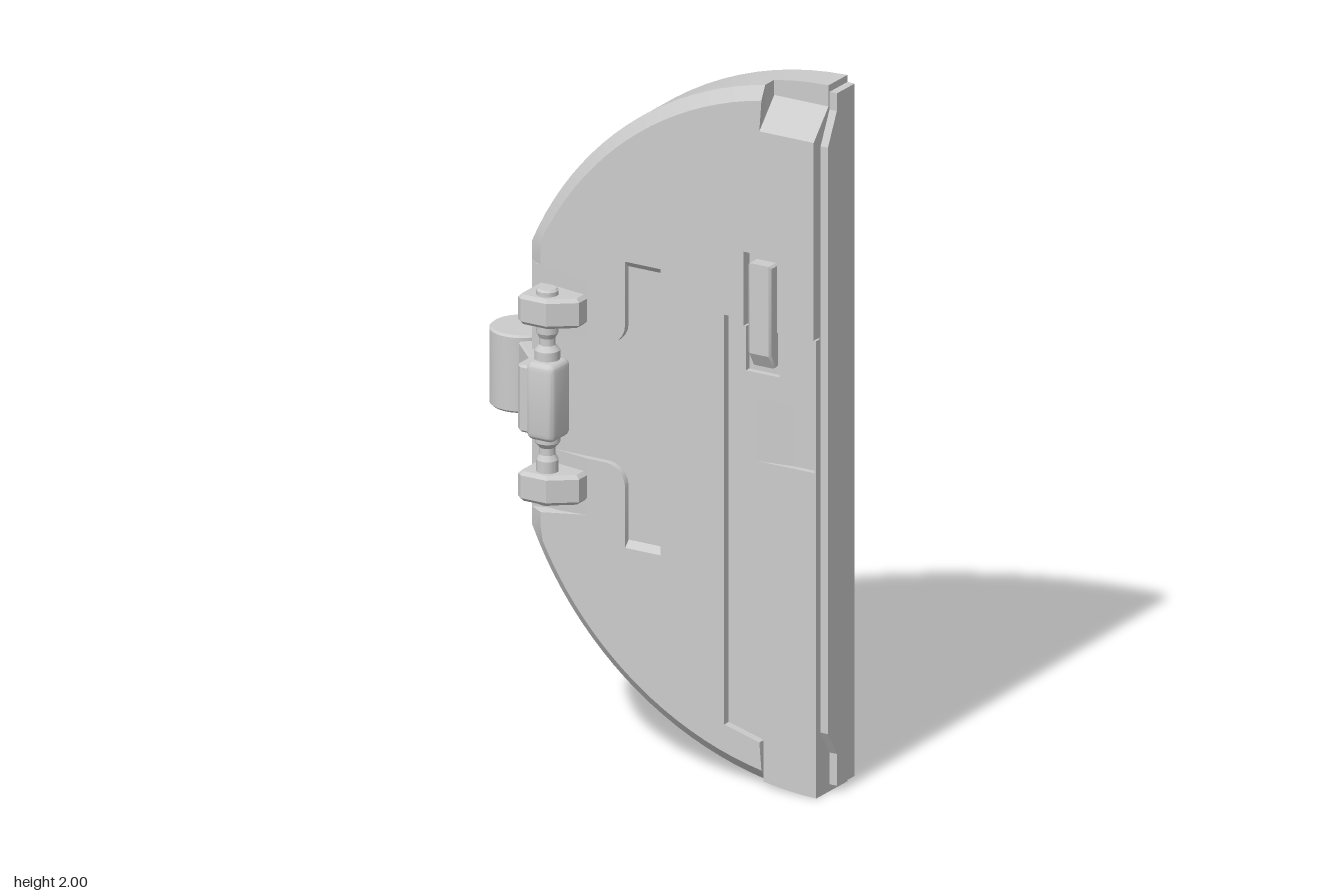
import * as THREE from 'three';
import { toCreasedNormals } from 'three/addons/utils/BufferGeometryUtils.js';
import { RoundedBoxGeometry } from 'three/addons/geometries/RoundedBoxGeometry.js';

const CX = 0.546; // centre of the one-unit arc, at y = 1
const LEFT = -0.37, RIGHT = 0.53, NOTCH = 0.36;

// points on the rim arc between two x positions; side = 1 upper, -1 lower
function arc(x0, x1, side, n = 20) {
  const a0 = Math.acos((x0 - CX)), a1 = Math.acos((x1 - CX));
  return Array.from({ length: n + 1 }, (_, i) => {
    const a = a0 + (a1 - a0) * i / n;
    return [CX + Math.cos(a), 1 + side * Math.sin(a)];
  });
}

// quarter-round corner
function round(cx, cy, r, from, to, n = 5) {
  return Array.from({ length: n + 1 }, (_, i) => {
    const a = from + (to - from) * i / n;
    return [cx + r * Math.cos(a), cy + r * Math.sin(a)];
  });
}

const shape = pts => new THREE.Shape(pts.map(p => new THREE.Vector2(p[0], p[1])));
const extrude = (s, depth, bevel = 0) => new THREE.ExtrudeGeometry(s, {
  depth: depth - 2 * bevel, bevelEnabled: bevel > 0, bevelSize: bevel,
  bevelThickness: bevel, bevelOffset: -bevel, bevelSegments: 1, curveSegments: 24,
}).translate(0, 0, bevel);

// slab of an [x, y] outline from z0 to z1
const slab = (s, z0, z1) => extrude(s, z1 - z0).translate(0, 0, z0);
// [x, z] outline raised from y0 to y1
const prismY = (pts, y0, y1, bevel) =>
  extrude(shape(pts.map(([x, z]) => [x, -z])), y1 - y0, bevel).rotateX(-Math.PI / 2).translate(0, y0, 0);
// [z, y] outline drawn out from x0 to x1
const prismX = (pts, x0, x1, bevel) =>
  extrude(shape(pts.map(([z, y]) => [-z, y])), x1 - x0, bevel).rotateY(Math.PI / 2).translate(x0, 0, 0);

export function createModel() {
  const model = new THREE.Group();
  const material = new THREE.MeshStandardMaterial({ color: 0xcccccc });
  const add = (name, geo, parent = model) => {
    const mesh = new THREE.Mesh(toCreasedNormals(geo, 0.4), material);
    mesh.name = name;
    parent.add(mesh);
    return mesh;
  };

  // door core: full back layer, then a layer with the top corner cut away
  add('doorBack', slab(shape([...arc(LEFT, RIGHT, 1), ...arc(RIGHT, LEFT, -1)]), -0.11, -0.015));
  add('doorCore', slab(shape([
    ...arc(LEFT, NOTCH, 1), [NOTCH, 1.86], [RIGHT, 1.86], ...arc(RIGHT, LEFT, -1),
  ]), -0.015, 0.03));
  add('cornerRamp', prismX([[-0.015, 1.8], [0.03, 1.8], [0.06, 1.86], [-0.015, 1.94]], NOTCH, RIGHT));

  // front skin with hinge slot, latch pocket and side panel cut out
  const skin = slab(shape([
    ...arc(LEFT, NOTCH, 1), [NOTCH, 1.86], [RIGHT, 1.86], [RIGHT, 1.3],
    [0.415, 1.3], [0.415, 1.51], [0.31, 1.51], [0.31, 1.3], [0.29, 1.3], [0.29, 1.32], [0.25, 1.32],
    [0.25, 0.16], [NOTCH, 0.13], ...arc(NOTCH, LEFT, -1),
    [LEFT, 0.65], [-0.18, 0.67], [-0.18, 0.83],
    ...round(-0.12, 0.77, 0.06, Math.PI / 2, 0), [-0.06, 0.63], [0.05, 0.63],
    [0.05, 1.38], [-0.06, 1.38], ...round(-0.12, 1.23, 0.06, 0, -Math.PI / 2),
    [-0.18, 1.17], [-0.18, 1.33], [LEFT, 1.35],
  ]), 0.03, 0.06);
  // chamfer: pull the front rim inward, and slope the ends of the slot
  const p = skin.attributes.position;
  for (let i = 0; i < p.count; i++) {
    if (p.getZ(i) < 0.05) continue;
    let x = p.getX(i), y = p.getY(i);
    const onEdge = x < LEFT + 0.001;
    if (Math.hypot(x - CX, y - 1) > 0.999) {
      x = CX + (x - CX) * 0.965;
      y = 1 + (y - 1) * 0.965;
    }
    if (onEdge) x = LEFT + 0.045;
    if (x > -0.07 && x < 0.06 && Math.abs(Math.abs(y - 1.005) - 0.375) < 0.002) y += y > 1 ? 0.03 : -0.03;
    p.setXY(i, x, y);
  }
  add('frontSkin', skin);
  add('slotFloor', slab(shape([[-0.2, 0.61], [0.07, 0.61], [0.07, 1.4], [-0.2, 1.4]]), 0.025, 0.042));
  add('hingeRamp', prismY([[LEFT, 0], [LEFT, 0.03], [-0.18, 0.06], [-0.17, 0.042], [-0.17, 0]], 0.66, 0.83));
  add('hingeRamp', prismY([[LEFT, 0], [LEFT, 0.03], [-0.18, 0.06], [-0.17, 0.042], [-0.17, 0]], 1.17, 1.34));
  add('hingeRampCentre', prismY([[LEFT, 0], [LEFT, 0.03], [-0.294, 0.042], [-0.17, 0.042], [-0.17, 0]], 0.83, 1.17));

  // sunken side panel with a finger pull
  const panel = shape([
    [0.255, 0.165], [0.255, 1.315], [0.285, 1.315], [0.285, 1.295], [0.31, 1.295], [0.31, 1.17], [0.415, 1.17],
    [0.415, 1.295], [RIGHT, 1.295], ...arc(RIGHT, NOTCH + 0.005, -1, 4), [NOTCH + 0.005, 0.135],
  ]);
  panel.holes.push(shape([[0.34, 0.92], [0.525, 0.92], [0.525, 0.95], [0.49, 1.02], [0.49, 1.1], [0.34, 1.1]]));
  add('sidePanel', slab(panel, 0.03, 0.047));
  add('fingerPullRamp', prismY([[0.34, 0.025], [0.34, 0.047], [0.45, 0.031], [0.45, 0.025]], 0.92, 1.1));

  // latch bar in its pocket
  add('latch', prismX([[0.02, 1.19], [0.045, 1.19], [0.068, 1.23], [0.068, 1.485], [0.02, 1.485]], 0.328, 0.4, 0.006));

  // rim strip along the straight edge
  add('edgeStrip', prismX([
    [-0.11, 0.02], [-0.02, 0.02], [-0.02, 0.11], [0.025, 0.18],
    [0.025, 1.84], [-0.02, 1.93], [-0.02, 1.98], [-0.11, 1.98],
  ], RIGHT, 0.553));

  // hinge: brackets, stepped pin and barrel
  const hinge = new THREE.Group();
  hinge.name = 'hinge';
  model.add(hinge);
  for (const y of [0.75, 1.25]) {
    add('hingeBracket', prismY([
      [-0.345, 0.03], [-0.345, 0.14], [-0.33, 0.153], [-0.25, 0.153], [-0.18, 0.1], [-0.18, 0.03],
    ], y - 0.042, y + 0.042, 0.01), hinge);
  }
  const half = [[0, 0.305], [0.024, 0.305], [0.03, 0.299], [0.03, 0.18], [0.022, 0.165], [0.022, 0.145], [0.034, 0.13], [0.034, 0.1]];
  const profile = [...half.map(([r, y]) => [r, -y]), ...half.slice().reverse()].map(q => new THREE.Vector2(...q));
  add('hingePin', new THREE.LatheGeometry(profile, 24).translate(-0.275, 1.005, 0.105), hinge);
  add('hingeBarrel', new RoundedBoxGeometry(0.088, 0.22, 0.098, 3, 0.02).translate(-0.268, 1, 0.113), hinge);

  // swing arm with a round counterweight
  add('swingArm', prismY([
    [-0.44, -0.01], [-0.345, 0.085], [-0.345, 0.14], [-0.33, 0.155], [-0.25, 0.155], [-0.24, 0.09],
    [-0.3, 0.062], [-0.375, -0.012], [-0.42, -0.06],
  ], 0.905, 1.095, 0.006), hinge);
  const r = 0.087, w = 0.11;
  add('counterweight', new THREE.LatheGeometry(
    [[0, -w], [r - 0.006, -w], [r, -w + 0.006], [r, w - 0.006], [r - 0.006, w], [0, w]].map(q => new THREE.Vector2(...q)), 40,
  ).translate(-0.468, 1, -0.077), hinge);

  return model;
}
